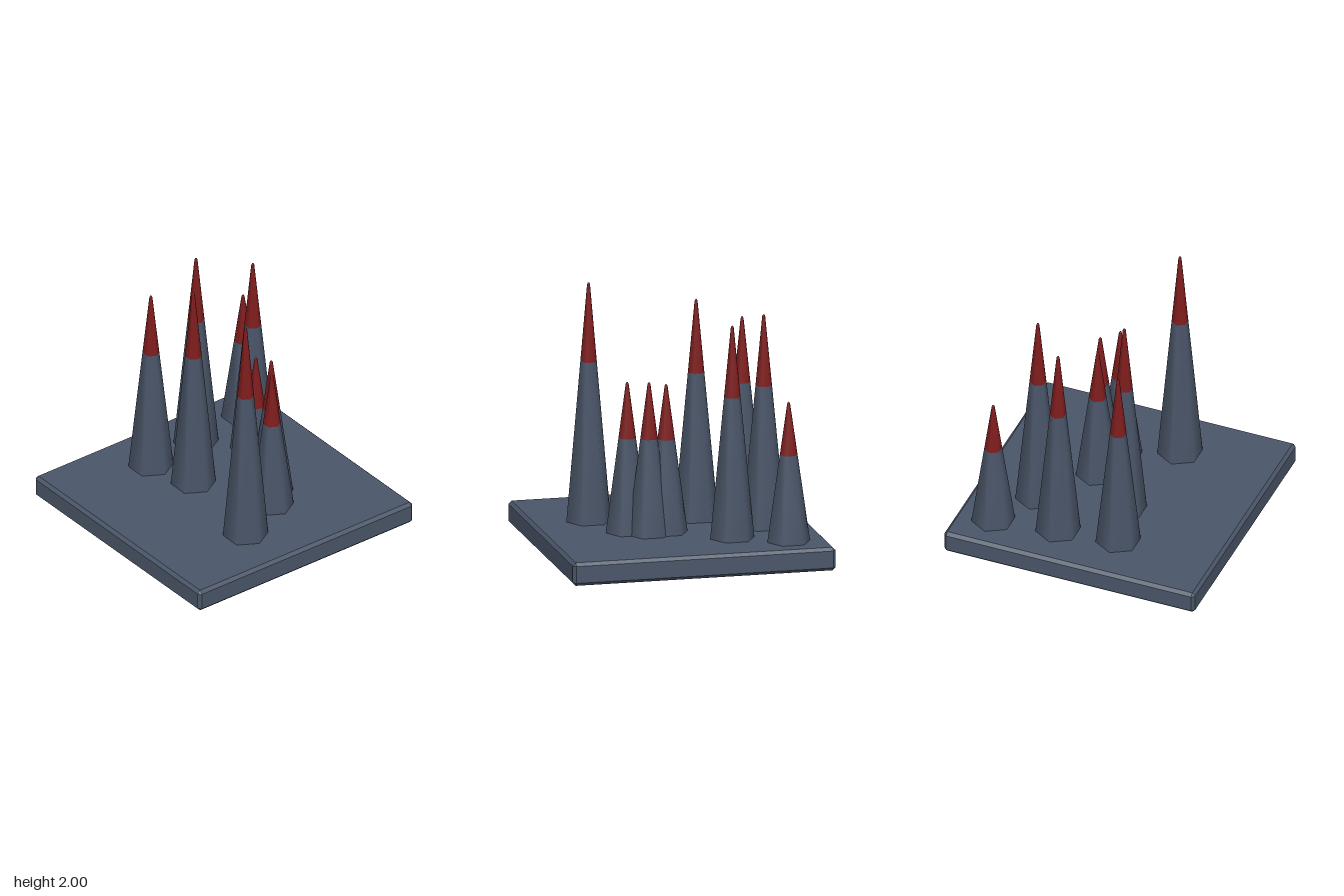
import * as THREE from 'three';
import { ConvexGeometry } from 'three/addons/geometries/ConvexGeometry.js';

const slate = new THREE.MeshStandardMaterial({ color: 0x4a5568 });
slate.name = 'slate';
const darkRed = new THREE.MeshStandardMaterial({ color: 0x7f1d1d });
darkRed.name = 'darkRed';

// Box with every edge cut by a flat chamfer
function chamferedBox(w, h, d, c) {
  const pts = [];
  for (const x of [-1, 1]) for (const y of [-1, 1]) for (const z of [-1, 1]) {
    const full = [x * w / 2, y * h / 2, z * d / 2];
    const cut = [full[0] - x * c, full[1] - y * c, full[2] - z * c];
    for (let axis = 0; axis < 3; axis++) {
      pts.push(new THREE.Vector3(...cut.map((v, i) => (i === axis ? full[i] : v))));
    }
  }
  return new ConvexGeometry(pts);
}

// Six-sided turned shape with corners on the x axis
function hexLathe(profile) {
  const pts = profile.map(([r, y]) => new THREE.Vector2(r, y));
  return new THREE.LatheGeometry(pts, 6, Math.PI / 2);
}

// Tapered spike: slate shaft with a shallow foot under the plate, red point
function makeSpike(x, z, top, split, radius) {
  const spike = new THREE.Group();
  spike.name = 'spike';
  const tipRadius = 0.011, tipY = top - 0.015, plateTop = 0.24;
  const slope = (radius - tipRadius) / (tipY - plateTop);
  const radiusAt = (y) => radius - slope * (y - plateTop);

  const shaft = new THREE.Mesh(hexLathe([
    [0, 0.003], [0.12, 0.055], [0.155, 0.09], [radiusAt(0.18), 0.18], [radiusAt(split), split],
  ]), slate);
  shaft.name = 'spikeShaft';

  const point = new THREE.Mesh(hexLathe([
    [radiusAt(split), split], [tipRadius, tipY], [0.006, top - 0.004], [0, top],
  ]), darkRed);
  point.name = 'spikePoint';

  spike.add(shaft, point);
  spike.position.set(x, 0, z);
  return spike;
}

export function createModel() {
  const model = new THREE.Group();
  model.name = 'spikeTrap';

  const plate = new THREE.Mesh(chamferedBox(1.94, 0.17, 1.94, 0.023), slate);
  plate.name = 'basePlate';
  plate.position.y = 0.155;
  model.add(plate);

  // x, z, top height, height where the red begins, radius at the plate
  const spikes = [
    [-0.685, -0.70, 1.27, 0.88, 0.158],
    [-0.62, -0.225, 1.805, 1.28, 0.163],
    [-0.572, 0.22, 1.685, 1.2, 0.163],
    [-0.318, -0.505, 1.805, 1.28, 0.163],
    [-0.207, 0.118, 1.86, 1.32, 0.163],
    [0.097, -0.213, 1.33, 0.925, 0.158],
    [0.232, -0.248, 1.36, 0.945, 0.158],
    [0.368, -0.148, 1.347, 0.935, 0.158],
    [0.557, 0.235, 2.0, 1.418, 0.164],
  ];
  for (const s of spikes) model.add(makeSpike(...s));
  return model;
}
